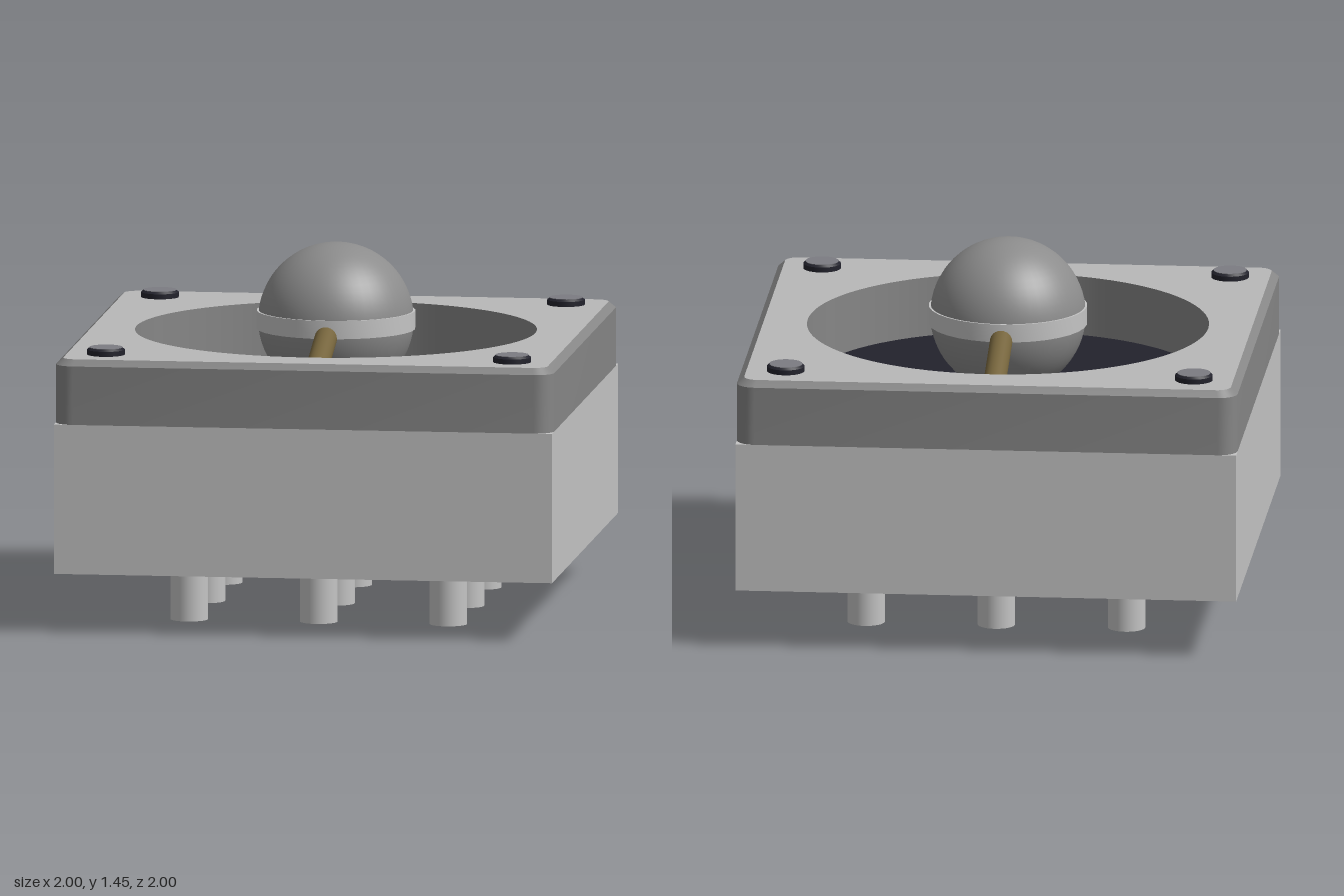
import * as THREE from 'three';
import { toCreasedNormals } from 'three/addons/utils/BufferGeometryUtils.js';

const mat = (name, color, extra = {}) => new THREE.MeshStandardMaterial({ name, color, ...extra });

// Outline of a rounded square, counter-clockwise
function roundedSquare(half, radius, steps = 8) {
  const points = [];
  for (let corner = 0; corner < 4; corner++) {
    const start = corner * Math.PI / 2;
    const sx = corner === 0 || corner === 3 ? 1 : -1;
    const sy = corner < 2 ? 1 : -1;
    for (let i = 0; i <= steps; i++) {
      const a = start + (i / steps) * Math.PI / 2;
      points.push(new THREE.Vector2(
        sx * (half - radius) + radius * Math.cos(a),
        sy * (half - radius) + radius * Math.sin(a)));
    }
  }
  return points;
}

// Skin between horizontal rounded-square rings, from bottom to top
function ringSkin(rings) {
  const positions = [], index = [];
  let n = 0;
  rings.forEach(({ y, half, radius }, r) => {
    const outline = roundedSquare(half, radius);
    n = outline.length;
    outline.forEach(p => positions.push(p.x, y, -p.y));
    if (r === 0) return;
    for (let i = 0; i < n; i++) {
      const a = (r - 1) * n + i, b = (r - 1) * n + (i + 1) % n;
      index.push(a, b, b + n, a, b + n, a + n);
    }
  });
  const geometry = new THREE.BufferGeometry();
  geometry.setAttribute('position', new THREE.Float32BufferAttribute(positions, 3));
  geometry.setIndex(index);
  return toCreasedNormals(geometry, 0.5);
}

// Turned part with crisp edges
function turned(profile) {
  const points = profile.map(([r, y]) => new THREE.Vector2(r, y));
  return toCreasedNormals(new THREE.LatheGeometry(points, 32), 0.5);
}

export function createModel() {
  const model = new THREE.Group();
  model.name = 'ballMountUnit';

  const lightGrey = mat('lightGrey', 0xc4c4c4);
  const plateGrey = mat('plateGrey', 0x868686);
  const boreGrey = mat('boreGrey', 0x868686, { side: THREE.DoubleSide });
  const faceGrey = mat('faceGrey', 0xb8b8b8);
  const ballGrey = mat('ballGrey', 0x8c8c8c);
  const navy = mat('navy', 0x22222c);
  const screwGrey = mat('screwGrey', 0x7c7c82);
  const brass = mat('brass', 0x75643c);

  function add(name, geometry, material, x = 0, y = 0, z = 0, parent = model) {
    const mesh = new THREE.Mesh(geometry, material);
    mesh.name = name;
    mesh.position.set(x, y, z);
    parent.add(mesh);
    return mesh;
  }

  // Base block
  add('baseBlock', new THREE.BoxGeometry(2, 0.6, 2), lightGrey, 0, 0.54, 0);

  // Nine pins below the base
  const pinGeometry = new THREE.CylinderGeometry(0.075, 0.075, 0.25, 32);
  for (const x of [-0.52, 0, 0.52]) {
    for (const z of [-0.52, 0, 0.52]) add('pin', pinGeometry, lightGrey, x, 0.125, z);
  }

  // Top plate: rounded sides with a bevel, pierced face, bore and floor
  add('plateSides', ringSkin([
    { y: 0.84, half: 1, radius: 0.075 },
    { y: 1.075, half: 1, radius: 0.075 },
    { y: 1.1, half: 0.972, radius: 0.055 },
  ]), plateGrey);

  const faceShape = new THREE.Shape(roundedSquare(0.972, 0.055));
  faceShape.holes.push(new THREE.Path().absarc(0, 0, 0.8, 0, Math.PI * 2, true));
  const face = new THREE.ShapeGeometry(faceShape, 48);
  face.rotateX(-Math.PI / 2);
  add('plateFace', face, faceGrey, 0, 1.1, 0);

  add('boreWall', new THREE.CylinderGeometry(0.8, 0.8, 0.26, 96, 1, true), boreGrey, 0, 0.97, 0);
  add('boreFloor', new THREE.CylinderGeometry(0.8, 0.8, 0.02, 96), navy, 0, 0.85, 0);

  // Corner screws
  const screwBody = turned([[0.075, 0], [0.075, 0.02], [0.066, 0.028]]);
  const screwCap = new THREE.CylinderGeometry(0.066, 0.066, 0.004, 32);
  for (const x of [-0.815, 0.815]) {
    for (const z of [-0.815, 0.815]) {
      const screw = new THREE.Group();
      screw.name = 'cornerScrew';
      screw.position.set(x, 1.1, z);
      add('screwBody', screwBody, navy, 0, 0, 0, screw);
      add('screwCap', screwCap, screwGrey, 0, 0.028, 0, screw);
      model.add(screw);
    }
  }

  // Ball with a band around its middle
  add('ball', new THREE.SphereGeometry(0.31, 48, 32), ballGrey, 0, 1.14, 0);
  add('ballBand', turned([
    [0.29, 1.105], [0.316, 1.105], [0.316, 1.178], [0.29, 1.178],
  ]), lightGrey);

  // Brass rods sloping from the ball to studs on the floor
  const studGeometry = turned([[0.1, 0.85], [0.1, 0.935], [0.072, 0.955], [0, 0.955]]);
  for (const side of [-1, 1]) {
    add('stud', studGeometry, brass, 0, 0, 0.665 * side);
    const inner = new THREE.Vector3(0, 1.12, 0.27 * side);
    const outer = new THREE.Vector3(0, 0.992, 0.67 * side);
    const direction = outer.clone().sub(inner);
    const rod = add('rod', new THREE.CylinderGeometry(0.045, 0.045, direction.length(), 24), brass);
    rod.position.copy(inner).add(outer).multiplyScalar(0.5);
    rod.quaternion.setFromUnitVectors(new THREE.Vector3(0, 1, 0), direction.normalize());
  }

  return model;
}
